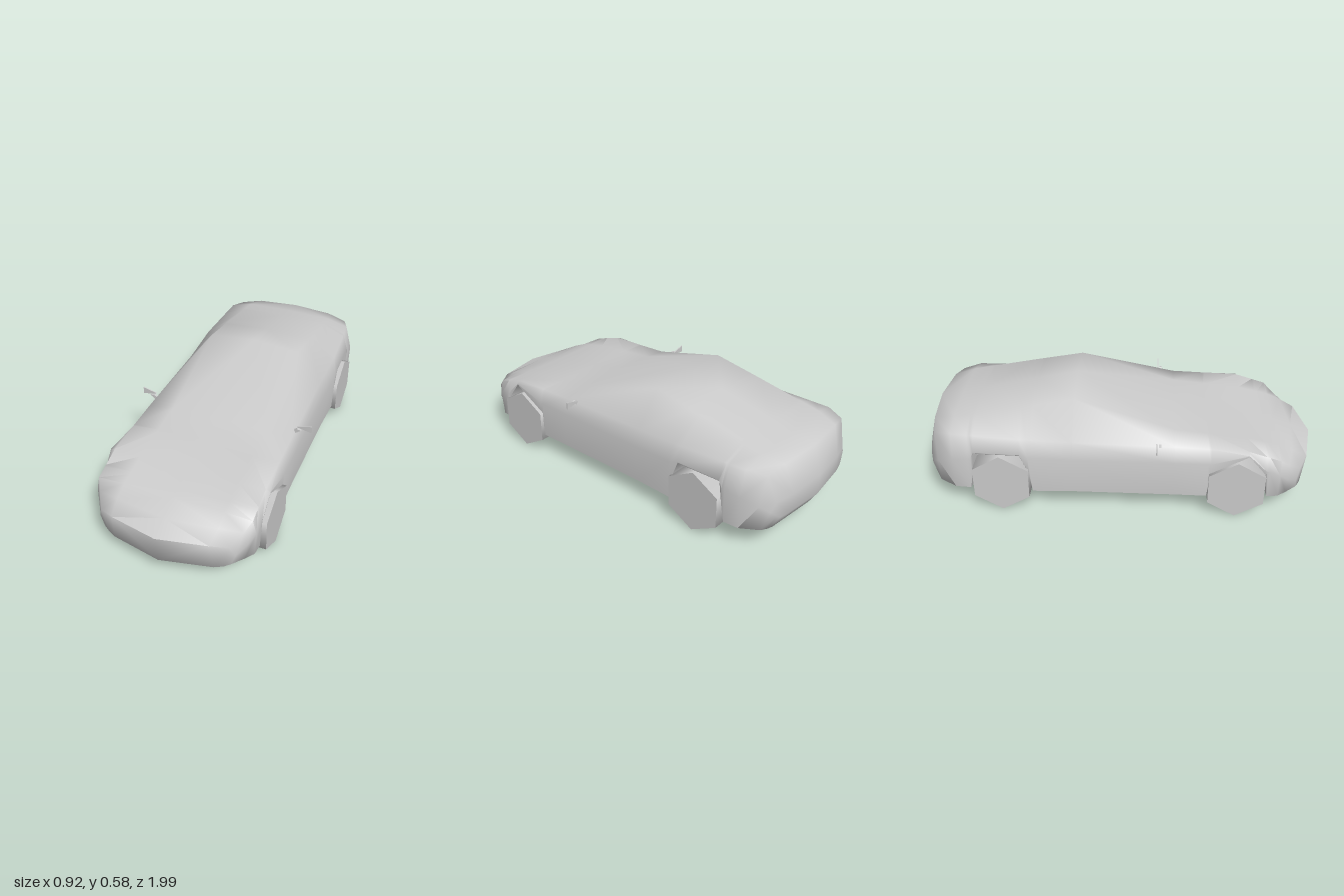
import * as THREE from 'three';
import { toCreasedNormals } from 'three/addons/utils/BufferGeometryUtils.js';

const grey = new THREE.MeshStandardMaterial({ color: 0xcccccc, side: THREE.DoubleSide });

// Body stations, nose to tail:
// z, centre top y, roof/hood edge x y, belt x y, side x y, sill x, floor x y
const STATIONS = [
  [1.0, 0.25, 0.24, 0.25, 0.32, 0.23, 0.34, 0.17, 0.32, 0.25, 0.10],
  [0.9, 0.283, 0.25, 0.29, 0.36, 0.275, 0.375, 0.2, 0.365, 0.28, 0.088],
  [0.8, 0.317, 0.25, 0.322, 0.385, 0.315, 0.402, 0.24, 0.395, 0.29, 0.08],
  [0.64, 0.353, 0.25, 0.358, 0.385, 0.365, 0.408, 0.3, 0.408, 0.29, 0.076],
  [0.28, 0.408, 0.25, 0.395, 0.382, 0.38, 0.408, 0.3, 0.402, 0.3, 0.074],
  [-0.22, 0.576, 0.245, 0.555, 0.378, 0.385, 0.404, 0.3, 0.4, 0.3, 0.074],
  [-0.48, 0.52, 0.25, 0.505, 0.385, 0.4, 0.41, 0.31, 0.408, 0.29, 0.076],
  [-0.83, 0.443, 0.25, 0.438, 0.365, 0.41, 0.4, 0.28, 0.395, 0.29, 0.085],
  [-0.95, 0.42, 0.22, 0.415, 0.33, 0.395, 0.365, 0.25, 0.345, 0.27, 0.1],
  [-0.992, 0.27, 0.2, 0.265, 0.3, 0.26, 0.33, 0.22, 0.3, 0.22, 0.17],
];

// Lower edge of the sides: z, y, inner x (wheel wells cut in to 0.3)
const EDGE = [
  [1.0, 0.115, 0.29], [0.745, 0.11, 0.34], [0.73, 0.24, 0.3], [0.64, 0.35, 0.3],
  [0.46, 0.235, 0.3], [0.445, 0.105, 0.34], [-0.425, 0.105, 0.34], [-0.44, 0.22, 0.3],
  [-0.48, 0.32, 0.3], [-0.71, 0.32, 0.3], [-0.725, 0.2, 0.3], [-0.74, 0.11, 0.34],
  [-0.95, 0.115, 0.3], [-0.992, 0.18, 0.27],
];

// Linear interpolation of a table row at depth z
function sample(table, z) {
  let i = 0;
  while (i < table.length - 2 && table[i + 1][0] > z) i++;
  const a = table[i], b = table[i + 1];
  const t = (z - a[0]) / (b[0] - a[0]);
  return a.map((v, k) => v + (b[k] - v) * t);
}

// Half cross-section, top centre round the +x side to bottom centre
function halfSection(z) {
  const [, top, rx, ry, bx, by, sx, sy, lx, fx, fy] = sample(STATIONS, z);
  const [, ly, ix] = sample(EDGE, z);
  const inWell = ly > 0.19 && Math.abs(z) < 0.75;
  const sideY = Math.max(sy, ly + 0.006);
  const pts = [
    [0, top], [rx, ry], [bx, Math.max(by, sideY + 0.004)], [sx, sideY],
    [lx, ly], [ix, inWell ? ly : ly - 0.012], [fx, fy],
    [0, fy + (Math.abs(z) < 0.85 ? 0.015 : 0)],
  ];
  // The ends curve back toward the sides and the nose leans slightly
  const k = Math.max(0, (Math.abs(z) - 0.8) / 0.2) * (z > 0 ? 0.85 : 0.5);
  const lean = z > 0.95 ? 0.1 : 0;
  return pts.map(([x, y]) => [x, y, z - Math.sign(z) * k * x * x + lean * (y - 0.25)]);
}

function bodyGeometry() {
  const depths = [...new Set([...STATIONS, ...EDGE].map((r) => r[0]))].sort((a, b) => b - a);
  const pos = [], idx = [], N = 14;
  for (const z of depths) {
    const half = halfSection(z);
    const other = half.slice(1, 7).reverse().map(([x, y, w]) => [-x, y, w]);
    for (const p of [...half, ...other]) pos.push(...p);
  }
  // Skin
  for (let i = 0; i < depths.length - 1; i++) {
    for (let j = 0; j < N; j++) {
      const a = i * N + j, b = i * N + ((j + 1) % N), c = a + N, d = b + N;
      if (j < N / 2) idx.push(a, b, c, b, d, c);
      else idx.push(a, b, d, a, d, c);
    }
  }
  // Nose and tail caps in vertical strips
  const cap = (base, back) => {
    for (const side of [1, -1]) {
      const at = (j) => base + (side > 0 ? j : (N - j) % N);
      for (let j = 0; j < 3; j++) {
        const a = at(j), b = at(j + 1), c = at(7 - j), d = at(6 - j);
        if ((side > 0) !== back) idx.push(a, c, b, b, c, d);
        else idx.push(a, b, c, b, d, c);
      }
    }
  };
  cap(0, false);
  cap((depths.length - 1) * N, true);
  const g = new THREE.BufferGeometry();
  g.setAttribute('position', new THREE.Float32BufferAttribute(pos, 3));
  g.setIndex(idx);
  return toCreasedNormals(g, 1.3);
}

function addMesh(parent, name, geometry) {
  const m = new THREE.Mesh(geometry, grey);
  m.name = name;
  parent.add(m);
  return m;
}

// Thin plate in the front plane, extruded along z
function plate(points, depth) {
  const shape = new THREE.Shape(points.map(([x, y]) => new THREE.Vector2(x, y)));
  return new THREE.ExtrudeGeometry(shape, { depth, bevelEnabled: false });
}

export function createModel() {
  const car = new THREE.Group();
  car.name = 'car';
  addMesh(car, 'body', bodyGeometry());

  // Six-sided wheels standing on a corner
  const wheel = new THREE.CylinderGeometry(0.16, 0.16, 0.127, 6, 1, false, Math.PI / 2);
  wheel.rotateZ(Math.PI / 2);
  for (const [end, z] of [['front', 0.59], ['rear', -0.58]]) {
    for (const [side, s] of [['Left', 1], ['Right', -1]]) {
      addMesh(car, end + side + 'Wheel', wheel).position.set(s * 0.3615, 0.16, z);
    }
  }

  // Door mirrors: a short stem and a flaring blade
  for (const [side, s] of [['left', 1], ['right', -1]]) {
    const mirror = new THREE.Group();
    mirror.name = side + 'Mirror';
    const flip = (pts) => pts.map(([x, y]) => [s * x, y]);
    const stem = plate(flip([[0.365, 0.38], [0.378, 0.368], [0.412, 0.394], [0.39, 0.398]]), 0.012);
    addMesh(mirror, 'mirrorStem', stem).position.z = 0.202;
    const blade = plate(flip([[0.385, 0.396], [0.41, 0.39], [0.46, 0.38], [0.46, 0.417], [0.4, 0.402]]), 0.006);
    addMesh(mirror, 'mirrorBlade', blade).position.z = 0.19;
    car.add(mirror);
  }
  return car;
}
